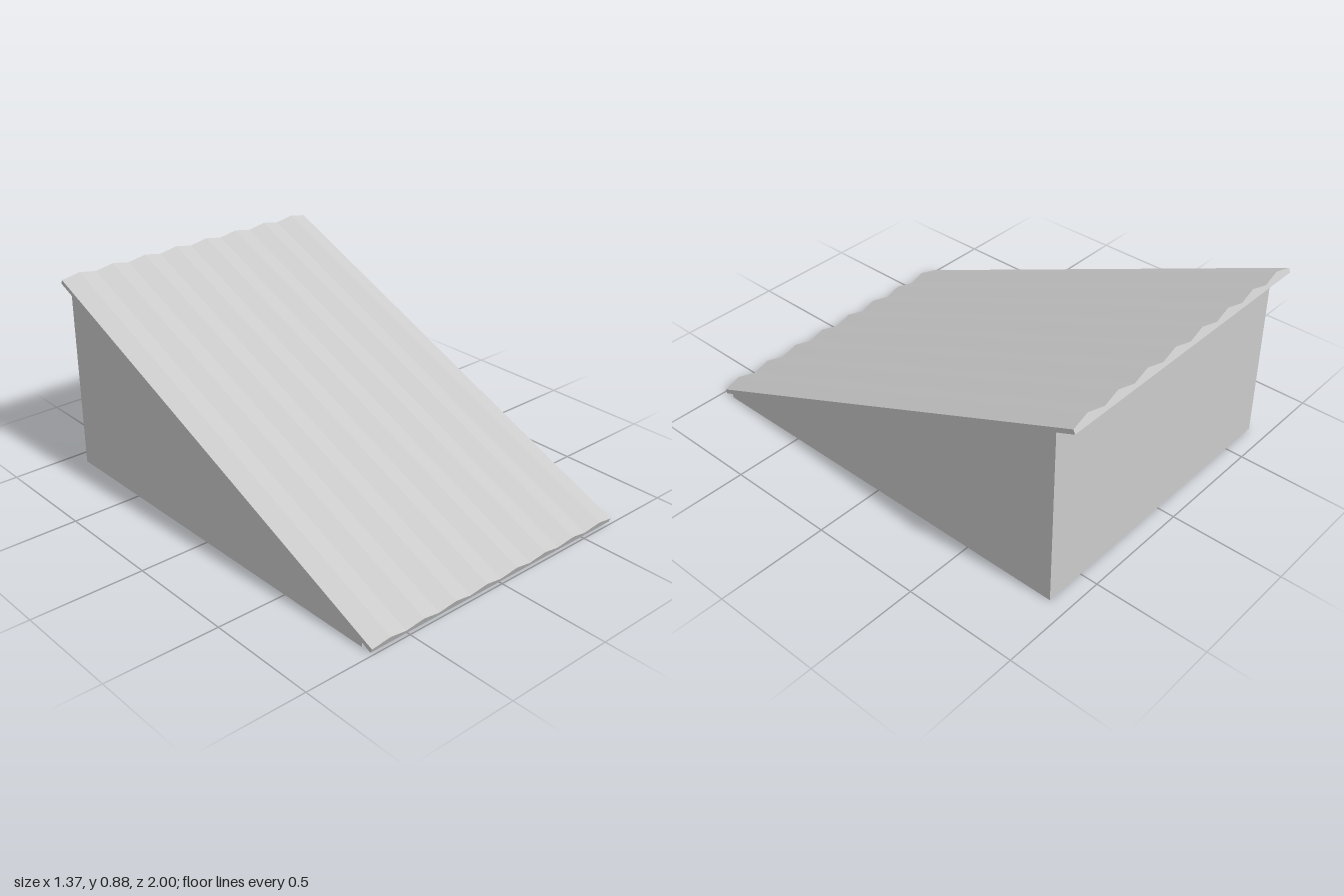
import * as THREE from 'three';

const HALF_WIDTH = 0.683;
const RIDGES = 8;
const FRONT_Z = 0.984; // lower front edge of the roof underside
const RUN = 1.984;
const RISE = 0.843;

const material = new THREE.MeshStandardMaterial({ color: 0xcccccc, flatShading: true });

// Height of the roof underside at depth z
const underside = (z) => (FRONT_Z - z) * RISE / RUN;

function createBase() {
  // Side profile drawn as (-z, y), extruded across the width
  const front = 0.94, back = -0.92;
  const profile = new THREE.Shape([
    new THREE.Vector2(-front, 0),
    new THREE.Vector2(-back, 0),
    new THREE.Vector2(-back, underside(back)),
    new THREE.Vector2(-front, underside(front)),
  ]);
  const geometry = new THREE.ExtrudeGeometry(profile, { depth: 2 * HALF_WIDTH, bevelEnabled: false });
  geometry.translate(0, 0, -HALF_WIDTH);
  geometry.rotateY(Math.PI / 2);
  const base = new THREE.Mesh(geometry, material);
  base.name = 'wedgeBase';
  return base;
}

function createRoof() {
  // Flat underside with a zigzag top, extruded along the slope
  const valley = 0.02, ridge = 0.04, length = Math.hypot(RUN, RISE);
  const profile = new THREE.Shape();
  profile.moveTo(-HALF_WIDTH, 0);
  profile.lineTo(HALF_WIDTH, 0);
  for (let i = 2 * RIDGES; i >= 0; i--) {
    profile.lineTo(-HALF_WIDTH + i * HALF_WIDTH / RIDGES, i % 2 ? ridge : valley);
  }
  profile.closePath();
  const geometry = new THREE.ExtrudeGeometry(profile, { depth: length, bevelEnabled: false });
  geometry.translate(0, 0, -length);
  const roof = new THREE.Mesh(geometry, material);
  roof.name = 'corrugatedRoof';
  roof.rotation.x = Math.atan2(RISE, RUN);
  roof.position.z = FRONT_Z;
  return roof;
}

export function createModel() {
  const model = new THREE.Group();
  model.name = 'slopedRoof';
  model.add(createBase(), createRoof());
  return model;
}
